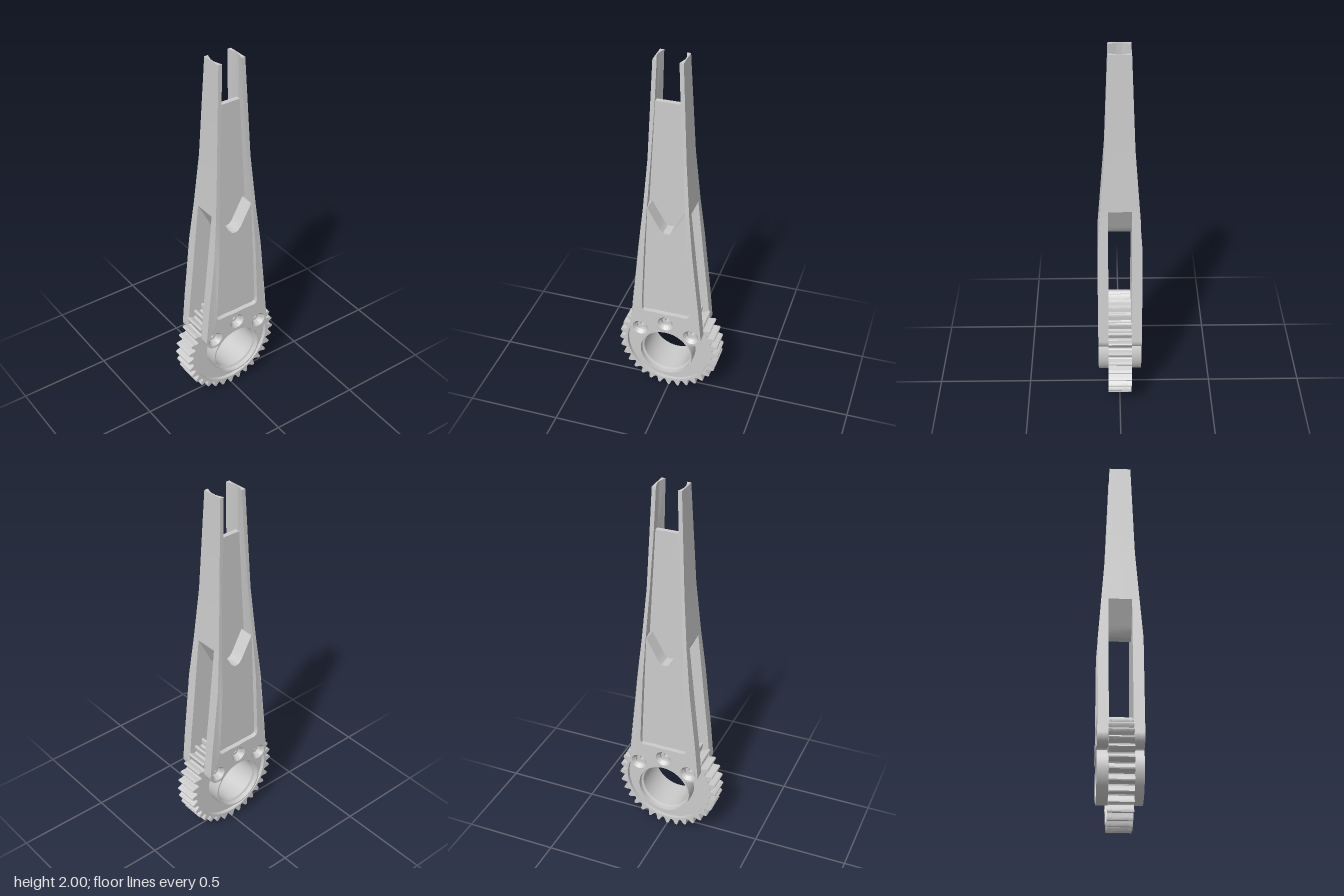
import * as THREE from 'three';
import { toCreasedNormals } from 'three/addons/utils/BufferGeometryUtils.js';

const CY = 0.28;                       // height of the bore axis
const Z = { slot: 0.06, floor: 0.09, face: 0.115, web: 0.013 };
const TOP = 1.18;                      // where the two plates merge into the beam

// piecewise linear lookup
const lookup = (table) => (y) => {
  let i = 1;
  while (i < table.length - 1 && y > table[i][0]) i++;
  const [a, b] = [table[i - 1], table[i]];
  const t = THREE.MathUtils.clamp((y - a[0]) / (b[0] - a[0]), 0, 1);
  return a[1] + t * (b[1] - a[1]);
};
const outerX = lookup([[0.44, 0.198], [0.8, 0.16], [1.18, 0.122], [1.47, 0.1], [2, 0.076]]);
const innerX = lookup([[0.56, 0.132], [1.2, 0.1], [1.76, 0.065], [2, 0.055]]);
const halfZ = lookup([[0.95, 0.115], [1.47, 0.077], [2, 0.057]]);

const arc = (cx, cy, r, a0, a1, n) => Array.from({ length: n + 1 }, (_, i) => {
  const a = THREE.MathUtils.degToRad(a0 + ((a1 - a0) * i) / n);
  return [cx + r * Math.cos(a), cy + r * Math.sin(a)];
});
const mirrored = (pts) => pts.map(([x, y]) => [-x, y]).reverse();
const vecs = (pts) => pts.map(([x, y]) => new THREE.Vector2(x, y));
const circle = (x, y, r, n = 24) => arc(x, y, r, 0, 360, n).slice(0, -1);

const bolts = [45, 90, 135].map((a) => arc(0, CY, 0.201, a, a, 1)[0]);

// right half outlines, listed from the outside towards the middle
const archTop = [[0.1, 1.19], [0.05, 1.1], [0.035, 1.073], [0.018, 1.054], [0, 1.05]];
const archRoof = [[outerX(TOP), TOP], [0.06, 1.06], [0.045, 1.03], [0.025, 1.006], [0, 1]];

function slab(outline, holes, z0, z1) {
  const shape = new THREE.Shape(vecs(outline));
  holes.forEach((h) => shape.holes.push(new THREE.Path(vecs(h))));
  const g = new THREE.ExtrudeGeometry(shape, { depth: z1 - z0, bevelEnabled: false });
  g.translate(0, 0, z0);
  return toCreasedNormals(g, 0.6);
}

// right edge of a plate: over the bore, round the bolt ear, up the side
function plateEdge() {
  const side = [0.6, 0.8, 0.95, 1.07, TOP].map((y) => [outerX(y), y]);
  return [...arc(0, CY, 0.14, 90, 32, 10), ...arc(bolts[0][0], bolts[0][1], 0.055, -105, 12, 12), ...side];
}

// bevel the plate face inwards along the tapering upper end
function taperFace(g) {
  const p = g.attributes.position;
  for (let i = 0; i < p.count; i++) {
    if (p.getZ(i) > Z.floor + 0.001) p.setZ(i, halfZ(p.getY(i)));
  }
  return toCreasedNormals(g, 0.6);
}

// box bent into one tapering flange with an undercut inner side
function flangeGeometry(side) {
  const ys = [TOP, 1.33, 1.47, 1.76, 2];
  const g = new THREE.BoxGeometry(1, 1, 1, 1, 4, 3);
  const p = g.attributes.position;
  for (let i = 0; i < p.count; i++) {
    const y = ys[Math.round((p.getY(i) + 0.5) * 4)];
    const k = Math.round((p.getZ(i) + 0.5) * 3);
    const h = halfZ(y);
    const z = [-h, -Z.web, Z.web, h][k];
    const inner = innerX(y) + (k === 1 || k === 2 ? 0.014 : 0);
    const isOuter = p.getX(i) * side > 0;
    p.setXYZ(i, side * (isOuter ? outerX(y) : inner), y, z);
  }
  return toCreasedNormals(g, 0.3);
}

function gearOutline() {
  const teeth = 32;
  const profile = [[0, 0.246], [0.14, 0.249], [0.26, 0.262], [0.34, 0.274], [0.44, 0.28],
    [0.56, 0.28], [0.66, 0.274], [0.74, 0.262], [0.86, 0.249]];
  const pts = [];
  for (let i = 0; i < teeth; i++) {
    for (const [t, r] of profile) {
      const a = ((i + t - 0.5) / teeth) * Math.PI * 2 - Math.PI / 2;
      pts.push([r * Math.cos(a), CY + r * Math.sin(a)]);
    }
  }
  return pts;
}

export function createModel() {
  const model = new THREE.Group();
  const grey = new THREE.MeshStandardMaterial({ color: 0xcccccc });
  const add = (name, geometry, parent = model) => {
    const mesh = new THREE.Mesh(geometry, grey);
    mesh.name = name;
    parent.add(mesh);
    return mesh;
  };

  // gear: full core plus raised rims around a horseshoe recess
  const gear = gearOutline();
  const bore = circle(0, CY, 0.14, 48);
  const boltHoles = bolts.map(([x, y]) => circle(x, y, 0.014, 16));
  const recess = [...arc(0, CY, 0.235, -205, 25, 48), ...arc(0, CY, 0.19, 30, 30, 1).slice(1),
    ...arc(0, CY, 0.146, 27, -207, 40), ...arc(0, CY, 0.19, -210, -210, 1).slice(1)];
  add('gearCore', slab(gear, [bore, ...boltHoles], -0.042, 0.042));
  add('gearRimFront', slab(gear, [bore, recess, ...boltHoles], 0.042, 0.062));
  add('gearRimBack', slab(gear, [bore, recess, ...boltHoles], -0.062, -0.042));

  // bearing collar with a stepped bore
  const collar = [[0.13, -0.085], [0.141, -0.09], [0.141, -0.115], [0.149, -0.115], [0.149, 0.115],
    [0.141, 0.115], [0.141, 0.09], [0.13, 0.085], [0.13, -0.085]];
  const collarGeo = new THREE.LatheGeometry(vecs(collar), 64);
  collarGeo.rotateX(Math.PI / 2).translate(0, CY, 0);
  add('bearingCollar', toCreasedNormals(collarGeo, 0.5));

  // side plates: pocket floor, raised frame and countersunk bolt seats
  const edge = plateEdge();
  const seats = bolts.map(([x, y]) => circle(x, y, 0.044));
  const floorHalf = [...edge, ...archTop];
  const pocket = [1.07, 0.95, 0.8, 0.6].map((y) => [innerX(y), y]);
  const frameHalf = [...edge, [innerX(TOP), TOP], ...pocket, [0.131, 0.57],
    [0.126, 0.552], [0.112, 0.545], [0.06, 0.547], [0, 0.545]];
  const full = (half) => [...half, ...mirrored(half).slice(1, -1)];
  const floorGeo = slab(full(floorHalf), seats, Z.slot, Z.floor);
  const frameGeo = taperFace(slab(full(frameHalf), seats, Z.floor, Z.face));
  const seat = [[0.012, Z.slot], [0.046, Z.slot], [0.046, Z.face], [0.043, Z.face],
    [0.027, 0.095], [0.027, 0.08], [0.012, 0.08], [0.012, Z.slot]];
  const seatGeo = new THREE.LatheGeometry(vecs(seat), 24);
  seatGeo.rotateX(Math.PI / 2);
  const creasedSeat = toCreasedNormals(seatGeo, 0.5);
  for (const name of ['frontPlate', 'backPlate']) {
    const plate = new THREE.Group();
    plate.name = name;
    if (name === 'backPlate') plate.rotation.y = Math.PI;
    add('pocketFloor', floorGeo, plate);
    add('plateFrame', frameGeo, plate);
    bolts.forEach(([x, y]) => add('boltSeat', creasedSeat, plate).position.set(x, y, 0));
    model.add(plate);
  }

  // arched bridge that joins the plates below the beam
  const bridgeHalf = [...archRoof.slice().reverse(), ...archTop];
  add('archBridge', slab(full(bridgeHalf), [], -Z.floor, Z.floor));

  // upper beam: thin web between two flanges
  const webSide = [1.19, 1.47, 1.76].map((y) => [innerX(y) + 0.016, y]);
  const webHalf = [[0, 1.02], [0.03, 1.04], [0.06, 1.09], ...webSide];
  add('web', slab([...webHalf, ...mirrored(webHalf).slice(0, -1)], [], -Z.web, Z.web));
  add('leftFlange', flangeGeometry(1));
  add('rightFlange', flangeGeometry(-1));
  return model;
}
